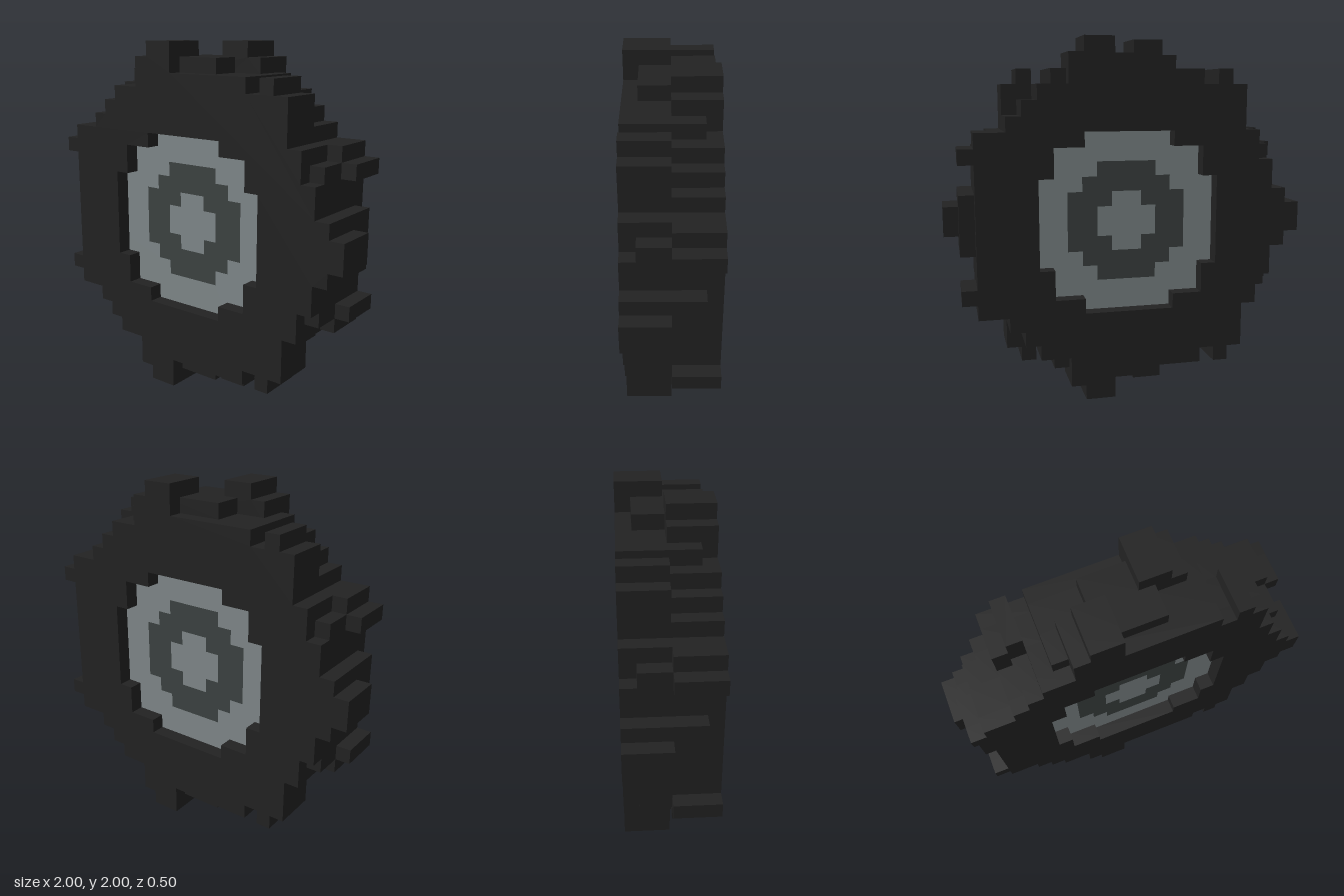
import * as THREE from 'three';

const UNIT = 1 / 12; // one block of the stepped design

const rubber = new THREE.MeshStandardMaterial({ color: 0x222222 });
rubber.name = 'black rubber';
const steel = new THREE.MeshStandardMaterial({ color: 0x7f8789 });
steel.name = 'light grey metal';
const iron = new THREE.MeshStandardMaterial({ color: 0x3c4241 });
iron.name = 'dark grey metal';

// Rows of [xMin, xMax] from the axle upward; the lower half is mirrored.
const treadOuter = [
  [-10, 12], [-10, 11], [-10, 10], [-10, 10], [-11, 9], [-10, 9],
  [-8, 8], [-7, 8], [-6, 8], [-4, 5], [-4, -1], [-3, -1],
];
const treadInner = [
  [-11, 12], [-11, 11], [-10, 10], [-10, 10], [-11, 10], [-10, 9],
  [-8, 8], [-7, 8], [-6, 8], [-5, 5], [-4, 2], [-3, -1],
];
const disc = (halfWidths) => halfWidths.map((w) => [-w, w]);
const hubRows = disc([6, 6, 6, 5, 5, 3]);
const ringRows = disc([4, 4, 3, 2]);
const capRows = disc([2, 1]);

// Stepped closed outline, counter-clockwise
function outline(rows) {
  const all = [...rows].reverse().concat(rows);
  const pts = [];
  const add = (x, y) => {
    const p = new THREE.Vector2(x, y);
    if (!pts.length || !pts[pts.length - 1].equals(p)) pts.push(p);
  };
  const n = rows.length;
  all.forEach(([, x], i) => { add(x, i - n); add(x, i - n + 1); });
  for (let i = all.length - 1; i >= 0; i--) {
    add(all[i][0], i - n + 1);
    add(all[i][0], i - n);
  }
  return pts;
}

// Slab with a stepped outline and an optional stepped hole
function slab(name, rows, holeRows, z, depth, material) {
  const shape = new THREE.Shape(outline(rows));
  if (holeRows) shape.holes.push(new THREE.Path(outline(holeRows)));
  const geo = new THREE.ExtrudeGeometry(shape, { depth, bevelEnabled: false, steps: 1 });
  const mesh = new THREE.Mesh(geo, material);
  mesh.name = name;
  mesh.position.z = z;
  return mesh;
}

// Half of the wheel, from the middle plane outward
function wheelHalf(name) {
  const half = new THREE.Group();
  half.name = name;
  half.add(
    slab('tyreSidewall', treadOuter, hubRows, 2, 1, rubber),
    slab('tyreCore', treadInner, hubRows, 0, 2, rubber),
    slab('hubRim', hubRows, ringRows, 0, 2, steel),
    slab('hubRing', ringRows, capRows, 0, 2, iron),
    slab('hubCap', capRows, null, 0, 2, steel),
  );
  // Separate diagonal lugs above and below
  for (const s of [1, -1]) {
    const lug = new THREE.Mesh(new THREE.BoxGeometry(1, 1, 3), rubber);
    lug.name = s > 0 ? 'upperLug' : 'lowerLug';
    lug.position.set(6.5, s * 9.5, 1.5);
    half.add(lug);
  }
  return half;
}

export function createModel() {
  const model = new THREE.Group();
  model.name = 'wheel';
  // Convert rows counted from the axle into the final scale
  const wheel = new THREE.Group();
  wheel.name = 'wheelBody';
  const front = wheelHalf('frontHalf');
  const back = wheelHalf('backHalf');
  back.rotation.y = Math.PI;
  wheel.add(front, back);
  wheel.scale.setScalar(UNIT);
  wheel.position.y = 1;
  model.add(wheel);
  return model;
}
